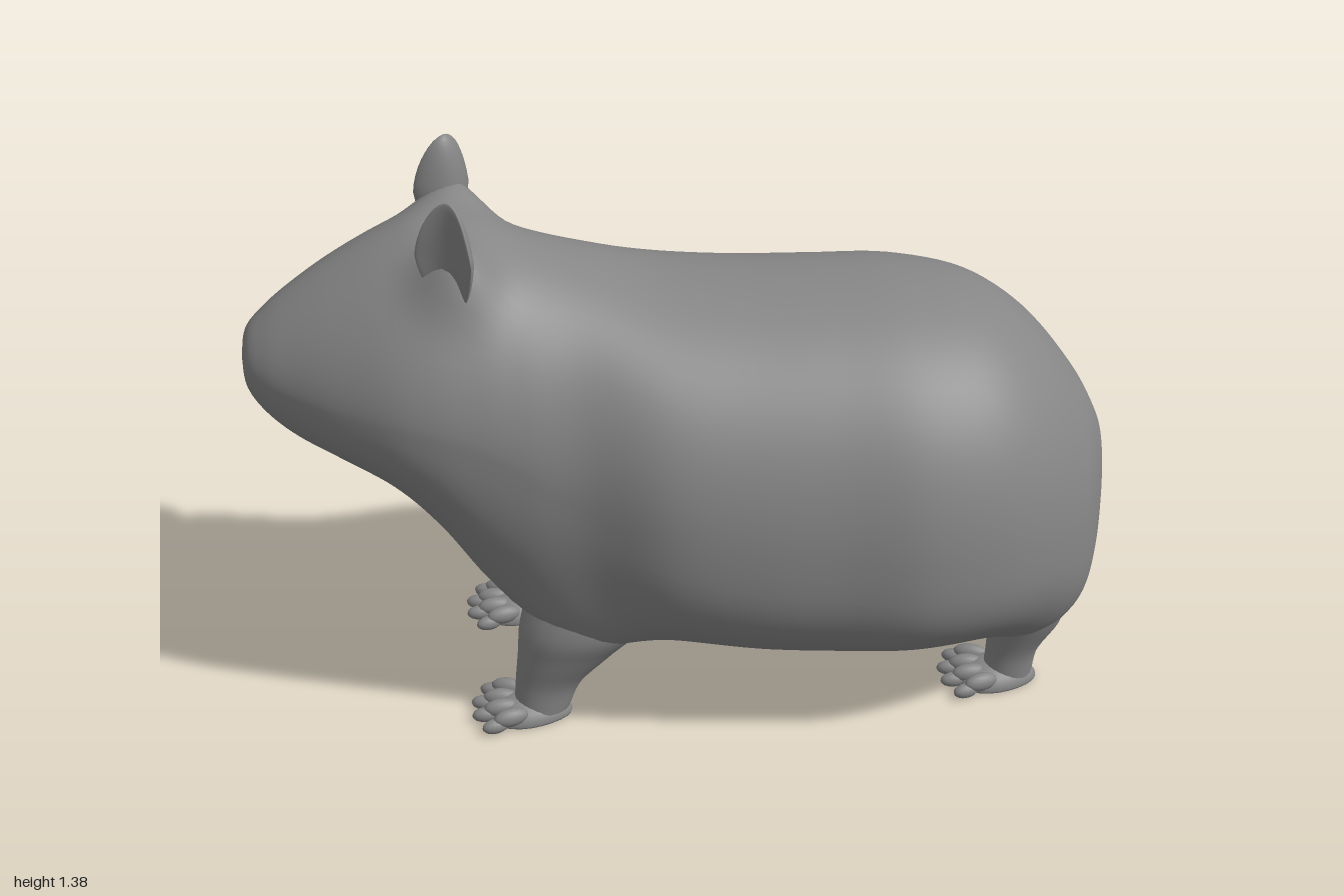
import * as THREE from 'three';

const mat = new THREE.MeshStandardMaterial({ color: 0x868686 });

function mesh(geo, name) {
  const m = new THREE.Mesh(geo, mat);
  m.name = name;
  return m;
}

// Smooth skin through a list of closed rings (each an array of Vector3)
function loft(rings, steps) {
  const n = rings[0].length, pos = [], idx = [];
  const cols = rings[0].map((_, j) =>
    new THREE.CatmullRomCurve3(rings.map(r => r[j]), false, 'catmullrom', 0.5));
  for (let i = 0; i <= steps; i++) {
    for (const c of cols) pos.push(...c.getPoint(i / steps).toArray());
  }
  for (let i = 0; i < steps; i++) {
    for (let j = 0; j < n; j++) {
      const k = (j + 1) % n, a = i * n, b = a + n;
      idx.push(a + j, b + j, a + k, b + j, b + k, a + k);
    }
  }
  const g = new THREE.BufferGeometry();
  g.setAttribute('position', new THREE.Float32BufferAttribute(pos, 3));
  g.setIndex(idx);
  g.computeVertexNormals();
  return g;
}

const angles = n => Array.from({ length: n }, (_, j) => j / n * Math.PI * 2);
const power = (v, e) => Math.sign(v) * Math.abs(v) ** e;

// Body stations, snout to rump: x, top, bottom, half width, height of widest point (0..1), centre z
const stations = [
  [-1.076, 0.91, 0.909, 0.001, 0.5, 0.055],
  [-1.064, 0.98, 0.845, 0.08, 0.48, 0.053],
  [-1.02, 1.03, 0.785, 0.14, 0.47, 0.048],
  [-0.95, 1.085, 0.73, 0.2, 0.45, 0.042],
  [-0.85, 1.15, 0.68, 0.27, 0.42, 0.037],
  [-0.73, 1.215, 0.61, 0.33, 0.42, 0.037],
  [-0.63, 1.25, 0.5, 0.355, 0.46, 0.04],
  [-0.52, 1.24, 0.34, 0.36, 0.52, 0.05],
  [-0.42, 1.2, 0.265, 0.362, 0.52, 0.06],
  [-0.28, 1.15, 0.235, 0.382, 0.47, 0.06],
  [-0.1, 1.095, 0.195, 0.453, 0.43, 0.06],
  [0.1, 1.075, 0.165, 0.477, 0.4, 0.065],
  [0.3, 1.07, 0.155, 0.487, 0.38, 0.07],
  [0.5, 1.06, 0.16, 0.503, 0.36, 0.072],
  [0.68, 1.02, 0.17, 0.457, 0.37, 0.077],
  [0.82, 0.925, 0.185, 0.375, 0.39, 0.077],
  [0.93, 0.79, 0.21, 0.265, 0.4, 0.077],
  [0.985, 0.69, 0.27, 0.15, 0.42, 0.08],
  [1.006, 0.62, 0.37, 0.07, 0.46, 0.08],
  [1.01, 0.501, 0.5, 0.001, 0.5, 0.08],
];

// Soft swellings of the skin at ears, shoulders and hips (mirrored): centre, reach, push
const swellings = [
  { at: [-0.56, 1.18, 0.18], reach: 0.085, push: [0, 0.075, 0.025] },
  { at: [-0.29, 0.3, 0.22], reach: 0.15, push: [0, -0.06, 0.05] },
  { at: [0.8, 0.24, 0.18], reach: 0.13, push: [0.02, -0.06, 0.01] },
];
const MID_Z = 0.065;

function bodyGeometry() {
  const rings = stations.map(([x, top, bot, w, k, cz]) => {
    const mid = bot + (top - bot) * k;
    // the head is peaked above, the trunk rounder
    const upper = THREE.MathUtils.lerp(1.75, 2.2, THREE.MathUtils.smoothstep(x, -0.6, -0.1));
    return angles(72).map(a => {
      const up = Math.sin(a) >= 0, e = 2 / (up ? upper : 2.5);
      return new THREE.Vector3(x,
        mid + power(Math.sin(a), e) * (up ? top - mid : mid - bot),
        cz + power(Math.cos(a), e) * w);
    });
  });
  const g = loft(rings, 114), p = g.attributes.position;
  const v = new THREE.Vector3(), move = new THREE.Vector3();
  for (let i = 0; i < p.count; i++) {
    v.fromBufferAttribute(p, i);
    move.set(0, 0, 0);
    for (const { at, reach, push } of swellings) {
      for (const side of [1, -1]) {
        const d = Math.hypot(v.x - at[0], v.y - at[1], v.z - MID_Z - side * at[2]) / reach;
        const w = Math.exp(-d * d);
        move.add(new THREE.Vector3(push[0] * w, push[1] * w, push[2] * w * side));
      }
    }
    v.add(move);
    p.setXYZ(i, v.x, v.y, v.z);
  }
  g.computeVertexNormals();
  return g;
}

// Legs: centre line z, then rings from sole to hip: y, x, offset to the side, radius along x, along z
const legs = {
  front: {
    cz: 0.055,
    rows: [
      [0.025, -0.4, 0.23, 0.068, 0.055],
      [0.1, -0.38, 0.228, 0.083, 0.058],
      [0.18, -0.335, 0.222, 0.12, 0.085],
      [0.27, -0.28, 0.205, 0.165, 0.12],
      [0.4, -0.23, 0.16, 0.17, 0.13],
      [0.55, -0.2, 0.1, 0.12, 0.1],
    ],
  },
  rear: {
    cz: 0.08,
    rows: [
      [0.025, 0.775, 0.17, 0.062, 0.052],
      [0.1, 0.785, 0.172, 0.066, 0.055],
      [0.2, 0.81, 0.178, 0.095, 0.08],
      [0.3, 0.79, 0.175, 0.115, 0.11],
      [0.45, 0.68, 0.15, 0.12, 0.12],
      [0.6, 0.6, 0.1, 0.1, 0.1],
    ],
  },
};

function legGeometry({ cz, rows }, side) {
  return loft(rows.map(([y, x, off, rx, rz]) => angles(24).map(a =>
    new THREE.Vector3(x + Math.cos(a) * rx, y, cz + side * off + Math.sin(a) * rz))), 24);
}

// Flat foot pointing to -x, with four short spread toes
function foot(name) {
  const g = new THREE.Group();
  g.name = name;
  const palm = mesh(new THREE.SphereGeometry(1, 24, 16), 'palm');
  const p = palm.geometry.attributes.position;
  for (let i = 0; i < p.count; i++) {
    const x = p.getX(i);
    p.setXYZ(i, x * 0.105 - 0.03, 0.008 + Math.max(p.getY(i), -0.1) * 0.05,
      p.getZ(i) * 0.072 * (1 - 0.25 * x));
  }
  palm.geometry.computeVertexNormals();
  g.add(palm);
  for (let i = 0; i < 4; i++) {
    const k = (i - 1.5) / 1.5;
    const toe = new THREE.Group();
    toe.name = 'toe';
    const knuckle = mesh(new THREE.SphereGeometry(1, 14, 10), 'knuckle');
    knuckle.scale.set(0.045, 0.024, 0.021);
    knuckle.position.set(-0.01, 0.036, 0);
    const tip = mesh(new THREE.SphereGeometry(1, 14, 10), 'toeTip');
    tip.scale.set(0.034, 0.019, 0.018);
    tip.position.set(-0.05, 0.021, 0);
    toe.add(knuckle, tip);
    toe.position.set(-0.1 + 0.03 * Math.abs(k), 0, k * 0.063);
    toe.rotation.y = k * 0.3;
    g.add(toe);
  }
  return g;
}

// Thin cupped ear with a rounded tip, hollow side facing +z
function earGeometry() {
  const g = new THREE.SphereGeometry(1, 28, 20), p = g.attributes.position;
  for (let i = 0; i < p.count; i++) {
    const x = p.getX(i), y = p.getY(i), z = p.getZ(i);
    const w = y > 0 ? 1 - 0.2 * y : 1 + 0.2 * y;
    p.setXYZ(i, x * 0.078 * w, y * 0.135,
      z * (z > 0 ? 0.012 : 0.035) + 0.03 * x * x + 0.005 * y);
  }
  g.computeVertexNormals();
  return g;
}

export function createModel() {
  const model = new THREE.Group();
  model.name = 'rodent';
  const animal = new THREE.Group();
  animal.name = 'animal';
  animal.add(mesh(bodyGeometry(), 'body'));

  for (const side of [1, -1]) {
    const label = side > 0 ? 'Near' : 'Far';
    for (const [end, leg] of Object.entries(legs)) {
      animal.add(mesh(legGeometry(leg, side), `${end}Leg${label}`));
      const f = foot(`${end}Foot${label}`);
      f.position.set(leg.rows[0][1], 0, leg.cz + side * leg.rows[0][2]);
      animal.add(f);
    }
    const ear = mesh(earGeometry(), `ear${label}`);
    ear.position.set(-0.573, 1.245, MID_Z + side * 0.195);
    ear.rotation.y = side > 0 ? -0.62 : Math.PI + 0.62;
    animal.add(ear);
  }

  // The animal stands turned slightly towards the front
  animal.rotation.y = 0.367;
  model.add(animal);
  return model;
}
